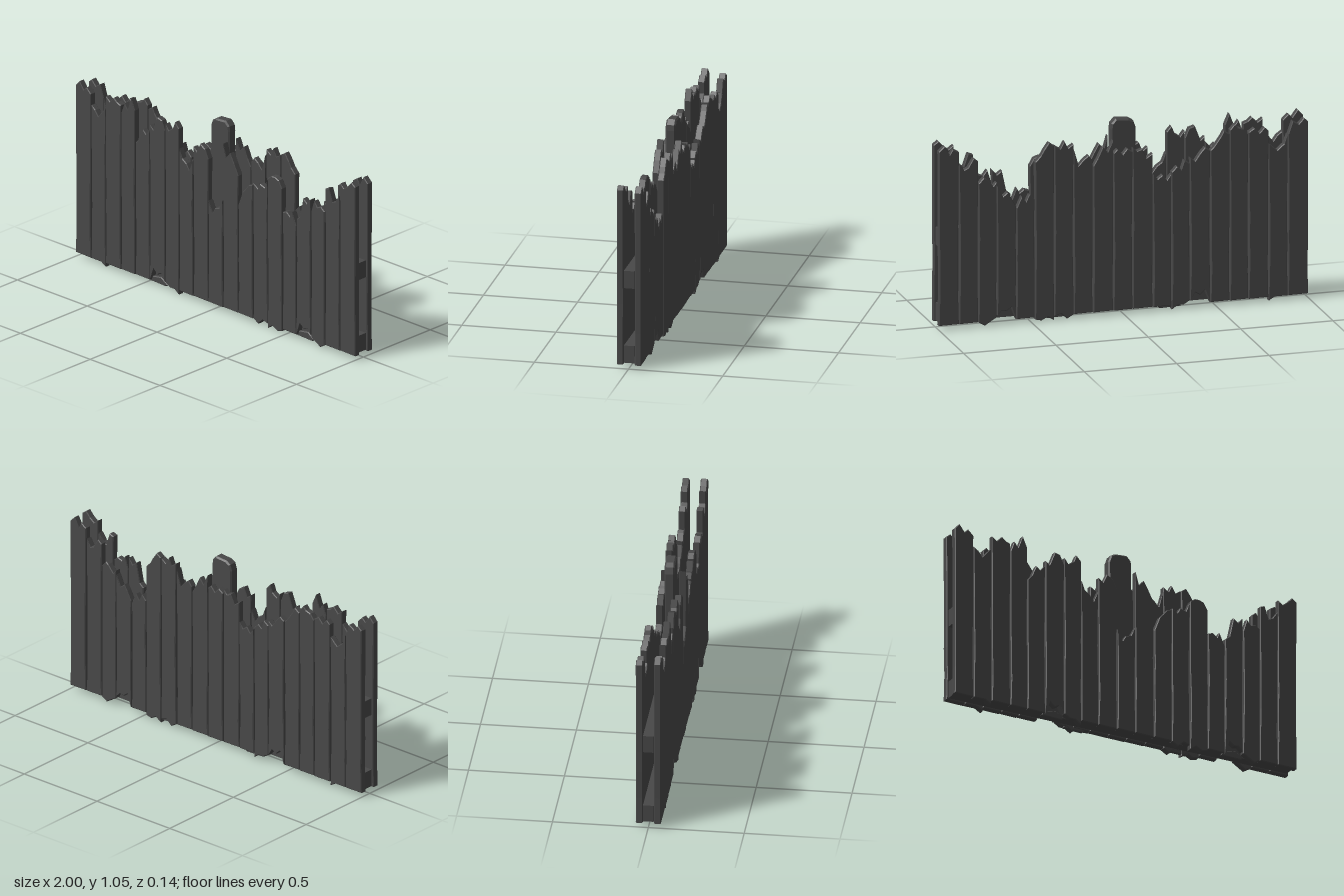
import * as THREE from 'three';

const wood = new THREE.MeshStandardMaterial({ color: 0x484848, flatShading: true });
wood.name = 'dark wood';

// Plank seams, from the -x end to the +x end
const seams = [-1, -0.89, -0.785, -0.675, -0.575, -0.47, -0.36, -0.26, -0.16, -0.05,
  0.055, 0.165, 0.27, 0.375, 0.48, 0.58, 0.685, 0.785, 0.89, 1];

// Broken top heights of each plank, evenly spaced across its width
const frontTops = [
  [0.97, 1.0, 0.96, 0.98, 0.95], [0.89, 0.87, 0.84, 0.87, 0.9],
  [0.97, 0.95, 0.98, 0.96, 0.95], [0.91, 0.97, 0.94, 1.01, 0.95],
  [0.77, 0.8, 0.86, 0.84, 0.87], [0.9, 0.88, 0.96, 0.95, 0.9],
  [0.94, 0.91, 0.93, 0.97, 0.94], [0.83, 0.78, 0.76, 0.73, 0.79],
  [0.87, 0.85, 0.9, 0.88, 0.83], [0.6, 0.54, 0.57, 0.58, 0.63],
  [0.95, 0.88, 0.91, 0.86, 0.8], [0.64, 0.72, 0.74, 0.77, 0.78],
  [0.79, 0.77, 0.8, 0.79, 0.84], [0.85, 0.87, 0.87, 0.86, 0.82],
  [0.69, 0.7, 0.68, 0.71, 0.64], [0.68, 0.7, 0.81, 0.79, 0.82],
  [0.75, 0.82, 0.79, 0.8, 0.78], [0.91, 0.92, 0.85, 0.86, 0.9],
  [0.97, 0.95, 0.97, 1.0, 0.98]];
const backTops = [
  [0.96, 0.98, 0.95, 0.97, 0.9], [0.9, 0.85, 0.82, 0.84, 0.86],
  [0.93, 0.95, 0.92, 0.95, 0.93], [0.92, 0.95, 0.96, 0.98, 0.95],
  [0.93, 0.95, 0.92, 0.87, 0.85], [0.85, 0.87, 0.84, 0.8, 0.82],
  [0.79, 0.81, 0.76, 0.78, 0.75], [0.74, 0.71, 0.74, 0.72, 0.75],
  [0.86, 0.84, 0.89, 0.88, 0.9], [0.88, 0.9, 0.87, 0.9, 0.88],
  [0.95, 0.89, 0.92, 0.86, 0.82], [0.85, 0.88, 0.86, 0.83, 0.92],
  [0.95, 0.93, 0.97, 0.93, 0.95], [0.95, 0.97, 0.93, 0.9, 0.87],
  [0.67, 0.7, 0.66, 0.69, 0.63], [0.64, 0.69, 0.72, 0.7, 0.76],
  [0.78, 0.76, 0.8, 0.81, 0.78], [0.9, 0.92, 0.87, 0.86, 0.9],
  [0.96, 0.98, 0.95, 1.0, 0.97]];

// Chipped feet: plank index -> bottom heights
const feet = {
  1: [0.03, 0.03, 0.03, 0.01], 5: [0.03, 0.1, 0.075, 0.09, 0.05],
  6: [0.05, 0.03, 0.03, 0.008], 12: [0.03, 0.01, 0.04, 0.03],
  13: [0.008, 0.03, 0.012, 0.02], 15: [0.03, 0.1, 0.08, 0.085, 0.06],
  16: [0.05, 0.03, 0.01, 0.03]
};

let seed = 7;
const jitter = (a) => {
  seed = (seed * 16807) % 2147483647;
  return (seed / 2147483647 - 0.5) * 2 * a;
};

// Chamfered board cut from an outline, centred on depth z
function board(name, points, z, depth, bevel) {
  const geometry = new THREE.ExtrudeGeometry(new THREE.Shape(points), {
    depth: depth - 2 * bevel, bevelThickness: bevel, bevelSize: bevel,
    bevelOffset: -bevel, bevelSegments: 1
  });
  geometry.translate(0, 0, z - depth / 2 + bevel);
  const mesh = new THREE.Mesh(geometry, wood);
  mesh.name = name;
  return mesh;
}

// Plank outline: chipped foot, slightly wavy sides, splintered top
function plankOutline(i, tops) {
  const gap = 0.0015;
  const x0 = seams[i] + (i === 0 ? 0 : gap);
  const x1 = seams[i + 1] - (i === seams.length - 2 ? 0 : gap);
  const foot = feet[i] || [0.032, 0.03];
  const at = (list, k) => x0 + (x1 - x0) * k / (list.length - 1);
  const points = foot.map((y, k) => new THREE.Vector2(at(foot, k), y));
  const side = (x, inward, heights) => heights.forEach((y) =>
    points.push(new THREE.Vector2(x + inward * Math.abs(jitter(0.005)), y)));
  side(x1, -1, [0.2, 0.36, 0.48]);
  for (let k = tops.length - 1; k >= 0; k--) {
    const shift = k > 0 && k < tops.length - 1 ? jitter(0.006) : 0;
    points.push(new THREE.Vector2(at(tops, k) + shift, tops[k]));
  }
  side(x0, 1, [0.45, 0.33, 0.18]);
  return points;
}

function plankLayer(name, allTops, z) {
  const layer = new THREE.Group();
  layer.name = name;
  allTops.forEach((tops, i) =>
    layer.add(board('plank', plankOutline(i, tops), z + jitter(0.002), 0.036, 0.004)));
  return layer;
}

export function createModel() {
  const group = new THREE.Group();
  group.name = 'plankWall';

  // Two skins of broken planks
  group.add(plankLayer('frontPlanks', frontTops, 0.047));
  group.add(plankLayer('backPlanks', backTops, -0.049));

  // Horizontal rails between the skins
  for (const [y, h] of [[0.085, 0.094], [0.4925, 0.095]]) {
    const rail = new THREE.Mesh(new THREE.BoxGeometry(1.98, h, 0.056), wood);
    rail.name = 'rail';
    rail.position.set(0, y, -0.001);
    group.add(rail);
  }

  // Loose splinters under the bottom rail
  for (const [x, z] of [[-0.42, 0.04], [0.36, -0.045], [-0.25, -0.045], [0.63, 0.04]]) {
    const splinter = board('splinter', [[-0.065, 0.022], [0.05, 0.018], [0.065, 0.03],
      [0.02, 0.06], [-0.05, 0.05]].map(([px, py]) => new THREE.Vector2(x + px, py)), z, 0.02, 0.004);
    group.add(splinter);
  }

  // Centre post with worn, rounded top
  const post = [[-0.075, 0.04], [0.055, 0.04], [0.058, 1.0], [0.054, 1.03], [0.03, 1.055],
    [-0.04, 1.05], [-0.065, 1.035], [-0.077, 1.0]].map(([x, y]) => new THREE.Vector2(x, y));
  group.add(board('centrePost', post, -0.006, 0.054, 0.008));

  // Stand exactly on the ground
  const box = new THREE.Box3().setFromObject(group);
  group.children.forEach((part) => { part.position.y -= box.min.y; });
  return group;
}
